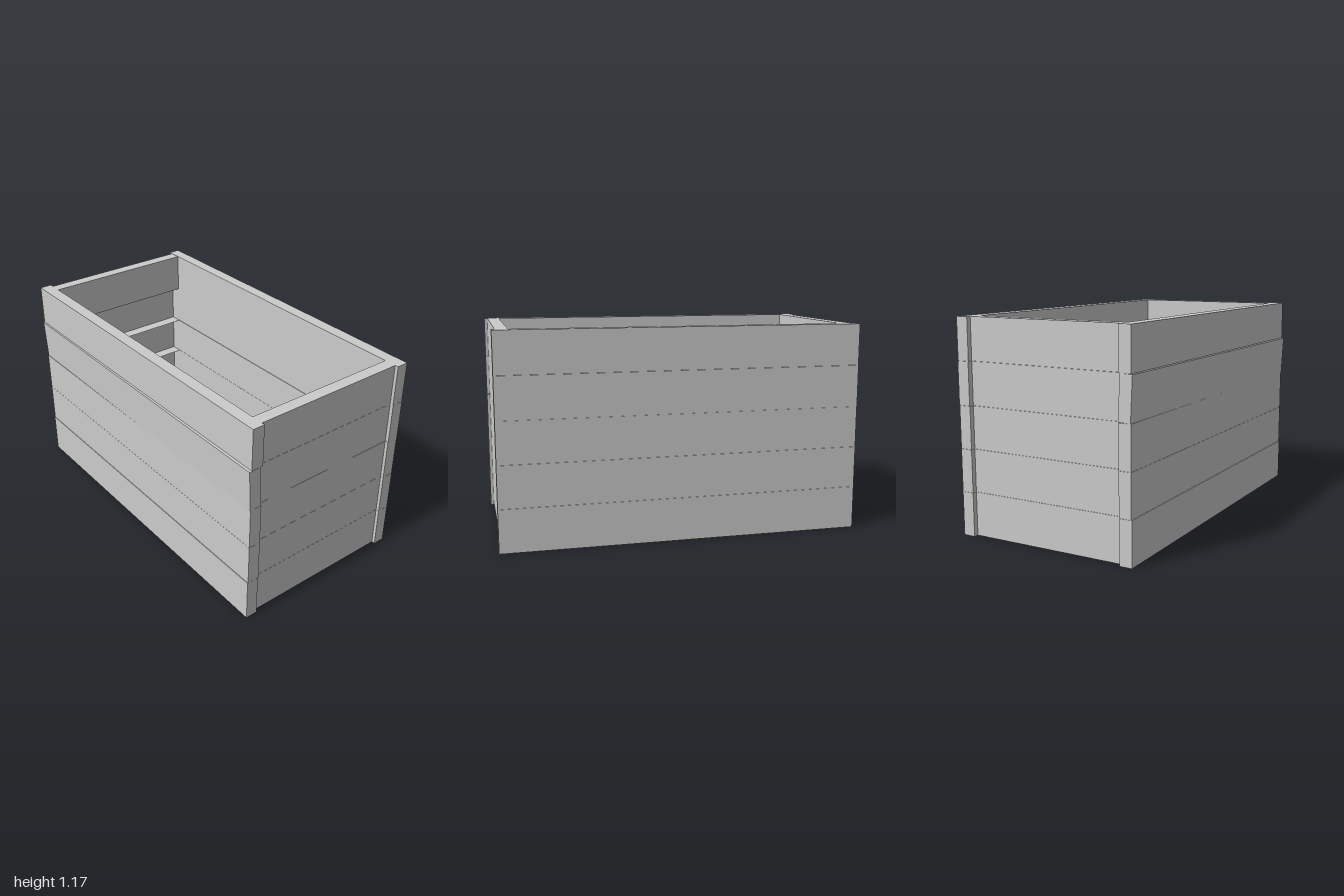
import * as THREE from 'three';

const material = new THREE.MeshStandardMaterial({ color: 0xcccccc, side: THREE.DoubleSide, flatShading: true });

// Heights of the joints between the five rows of planks
const joints = [0, 0.24, 0.473, 0.704, 0.937, 1.167];

// One plank; openFace (0 = +x, 1 = -x) leaves that face off, making a hollow plank
function plank(name, w, h, d, x, y, z, openFace = -1) {
  const geometry = new THREE.BoxGeometry(w, h, d);
  if (openFace >= 0) {
    const index = Array.from(geometry.index.array);
    index.splice(openFace * 6, 6);
    geometry.setIndex(index);
    geometry.clearGroups();
  }
  const mesh = new THREE.Mesh(geometry, material);
  mesh.name = name;
  mesh.position.set(x, y, z);
  return mesh;
}

export function createModel() {
  const crate = new THREE.Group();
  crate.name = 'crate';
  const walls = {};
  for (const name of ['frontWall', 'backWall', 'leftEnd', 'rightEnd']) {
    walls[name] = new THREE.Group();
    walls[name].name = name;
    crate.add(walls[name]);
  }

  for (let i = 0; i < 5; i++) {
    const h = joints[i + 1] - joints[i] - 0.001;
    const y = (joints[i] + joints[i + 1]) / 2;

    // Long walls of solid planks, the fourth front plank leaning outward
    const front = plank('frontPlank', 2, h, 0.068, 0, y, i === 0 ? 0.478 : 0.475);
    if (i === 3) {
      front.rotation.set(0.045, -0.003, 0);
      front.position.z = 0.48;
    }
    walls.frontWall.add(front);
    walls.backWall.add(plank('backPlank', 2, h, 0.068, 0, y, i === 3 ? -0.488 : -0.486));

    // End walls between them: solid top plank, lower planks open on the inside
    const solid = i === 4;
    walls.leftEnd.add(plank('leftEndPlank', 0.067, h, 0.893, 0.948, y, -0.005, solid ? -1 : 1));
    walls.rightEnd.add(plank('rightEndPlank', 0.067, h, 0.893, -0.94, y, -0.005, solid ? -1 : 0));
  }
  return crate;
}
